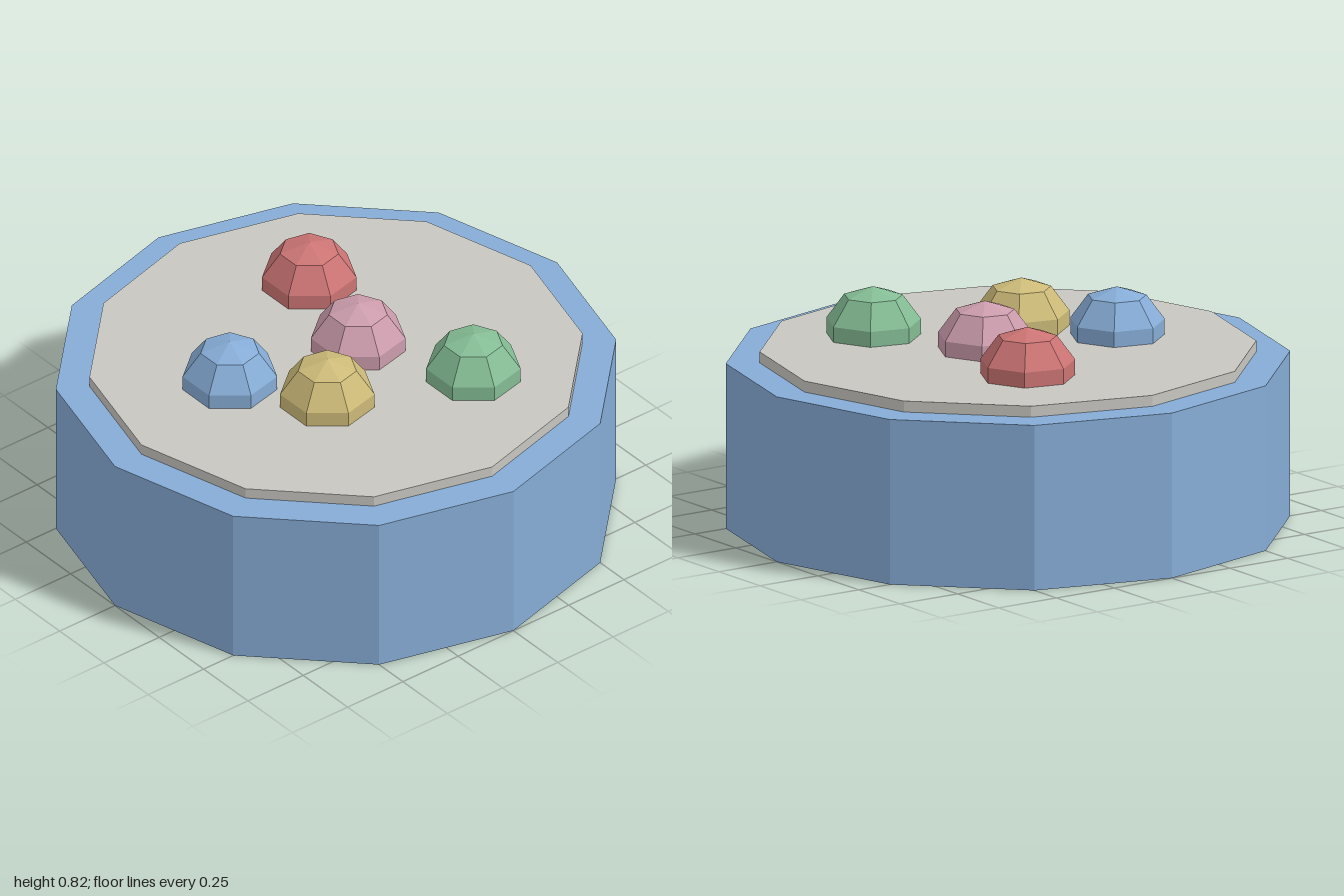
import * as THREE from 'three';

const BLUE = 0x86acd6;
const material = (color) => new THREE.MeshStandardMaterial({ color, flatShading: true });

export function createModel() {
  const model = new THREE.Group();
  model.name = 'gemDrum';

  const add = (name, geometry, color, x, y, z) => {
    const mesh = new THREE.Mesh(geometry, material(color));
    mesh.name = name;
    mesh.position.set(x, y, z);
    model.add(mesh);
    return mesh;
  };

  // Twelve-sided drum and the core that rises slightly above it
  add('drum', new THREE.CylinderGeometry(1, 1, 0.6, 12), BLUE, 0, 0.3, 0);
  add('core', new THREE.CylinderGeometry(0.88, 0.88, 0.64, 12), 0xc8c6c0, 0, 0.32, 0);

  // Faceted balls sunk halfway into the core, one corner towards the back
  const ball = new THREE.SphereGeometry(0.18, 7, 5).rotateY(-Math.PI / 2);
  const balls = [
    ['redBall', 0xcc7474, -0.4, -0.2],
    ['pinkBall', 0xcc9cac, 0, -0.1],
    ['greenBall', 0x84bc94, 0.4, -0.3],
    ['yellowBall', 0xccba78, 0.2, 0.2],
    ['blueBall', BLUE, -0.1, 0.4],
  ];
  for (const [name, color, x, z] of balls) add(name, ball, color, x, 0.64, z);

  return model;
}
